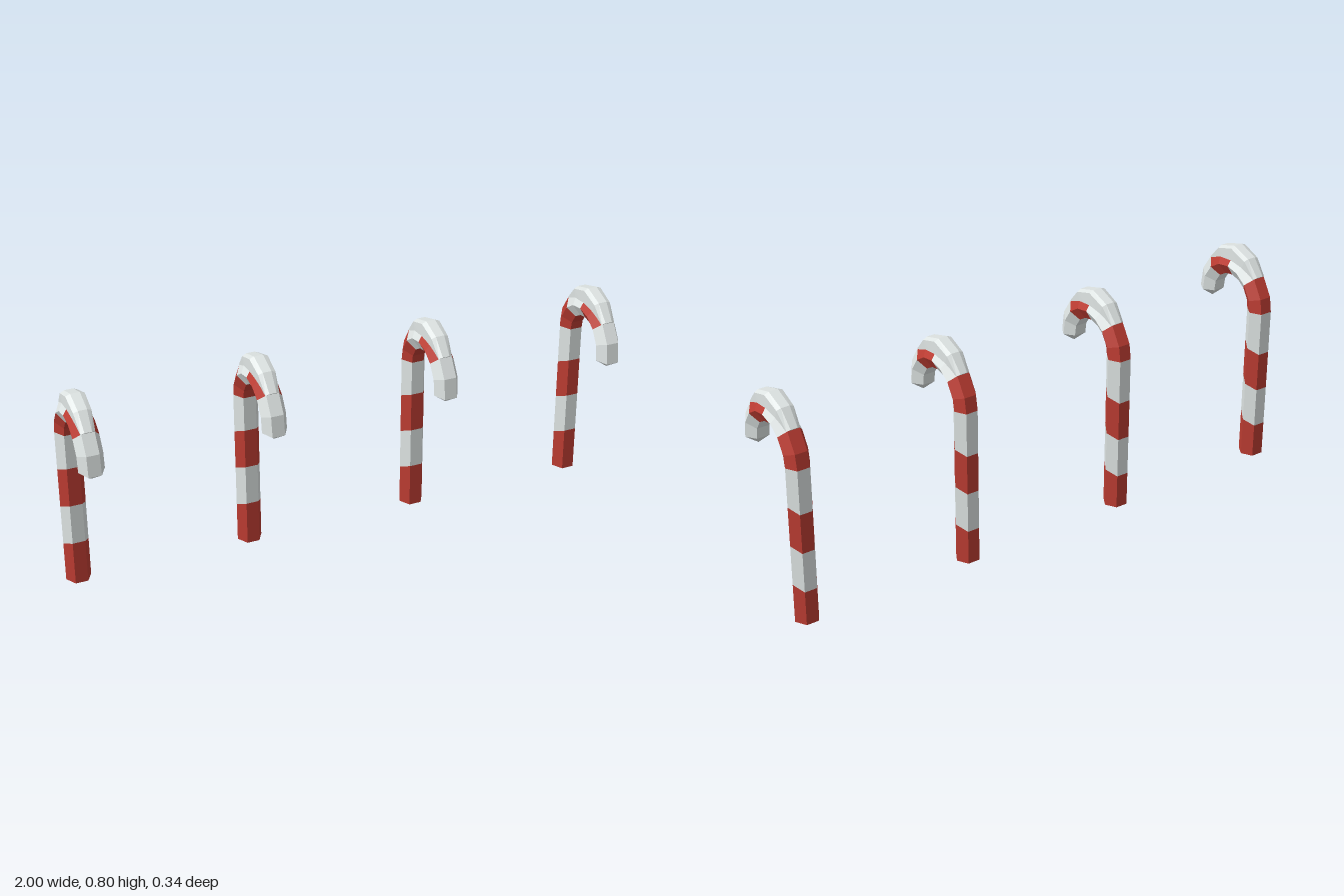
import * as THREE from 'three';

const R = 0.045, BEND = 0.133, TOP = 0.59;
const rad = THREE.MathUtils.degToRad;

// Skin a list of rings (arrays of Vector3); optional centre points close the ends
function skin(rings, startPoint, endPoint) {
  const pos = [];
  const tri = (...pts) => pts.forEach(p => pos.push(p.x, p.y, p.z));
  const n = rings[0].length;
  for (let s = 0; s < rings.length - 1; s++) {
    const a = rings[s], b = rings[s + 1];
    for (let i = 0; i < n; i++) {
      const j = (i + 1) % n;
      tri(a[i], a[j], b[j]);
      tri(a[i], b[j], b[i]);
    }
  }
  const first = rings[0], last = rings[rings.length - 1];
  for (let i = 0; i < n; i++) {
    const j = (i + 1) % n;
    if (startPoint) tri(startPoint, first[j], first[i]);
    if (endPoint) tri(endPoint, last[i], last[j]);
  }
  const g = new THREE.BufferGeometry();
  g.setAttribute('position', new THREE.Float32BufferAttribute(pos, 3));
  g.computeVertexNormals();
  return g;
}

const centre = ring => ring.reduce((s, p) => s.add(p), new THREE.Vector3()).divideScalar(ring.length);

// Hexagon in (sideways, distance from the bend centre)
const hexagon = Array.from({ length: 6 }, (_, i) =>
  [R * Math.cos(i * Math.PI / 3), BEND + R * Math.sin(i * Math.PI / 3)]);

// Ring across the straight stem, slanted for the stripe edges
const stemRing = (y, slant) => hexagon.map(([x, r]) =>
  new THREE.Vector3(x, y + slant * (BEND - r), -r));

// Ring across the hook, angle measured from the stem
const hookRing = (deg, profile = hexagon) => profile.map(([x, r]) =>
  new THREE.Vector3(x, TOP + r * Math.sin(rad(deg)), -r * Math.cos(rad(deg))));

export function createModel() {
  const white = new THREE.MeshStandardMaterial({ color: 0xdfe5e4 });
  white.name = 'sugarWhite';
  const red = new THREE.MeshStandardMaterial({ color: 0xbc3c32 });
  red.name = 'candyRed';
  const parts = [];
  const add = (name, geometry, material) => parts.push({ name, geometry, material });

  // Striped stem
  const levels = [[0, 0], [0.147, 0.44], [0.297, 0.44], [0.444, 0.44], [TOP, 0]];
  for (let i = 0; i < 4; i++) {
    const a = stemRing(...levels[i]), b = stemRing(...levels[i + 1]);
    add('stemStripe', skin([a, b], i === 0 ? centre(a) : null), i % 2 ? white : red);
  }

  // Striped hook
  [[0, 19, 45], [45, 67.5, 90], [90, 112.5, 135]].forEach((angles, i) =>
    add('hookStripe', skin(angles.map(a => hookRing(a))), i % 2 ? white : red));

  // Hook end with a pointed tip
  const endRings = [135, 160, 185].map(a => hookRing(a));
  const tip = centre(endRings[2]).add(new THREE.Vector3(0, -0.033, -0.003));
  add('hookTip', skin(endRings, null, tip), white);

  // Snow lying over the bend: [angle, half width, outer radius]
  const snowRings = [
    [45, 0.025, 0.178], [67.5, 0.031, 0.197], [90, 0.033, 0.207],
    [112.5, 0.031, 0.197], [135, 0.025, 0.178],
  ].map(([deg, w, r]) => hookRing(deg, [
    [-w, 0.14], [w, 0.14], [w, r - 0.007], [w * 0.5, r], [-w * 0.5, r], [-w, r - 0.007],
  ]));
  add('snowCap', skin(snowRings, centre(snowRings[0]), centre(snowRings[4])), white);

  // Row of four canes
  const model = new THREE.Group();
  model.name = 'candyCanes';
  for (let i = 0; i < 4; i++) {
    const cane = new THREE.Group();
    cane.name = 'candyCane';
    for (const { name, geometry, material } of parts) {
      const mesh = new THREE.Mesh(geometry, material);
      mesh.name = name;
      cane.add(mesh);
    }
    cane.position.x = (1 - R) * (i * 2 / 3 - 1);
    model.add(cane);
  }
  return model;
}
